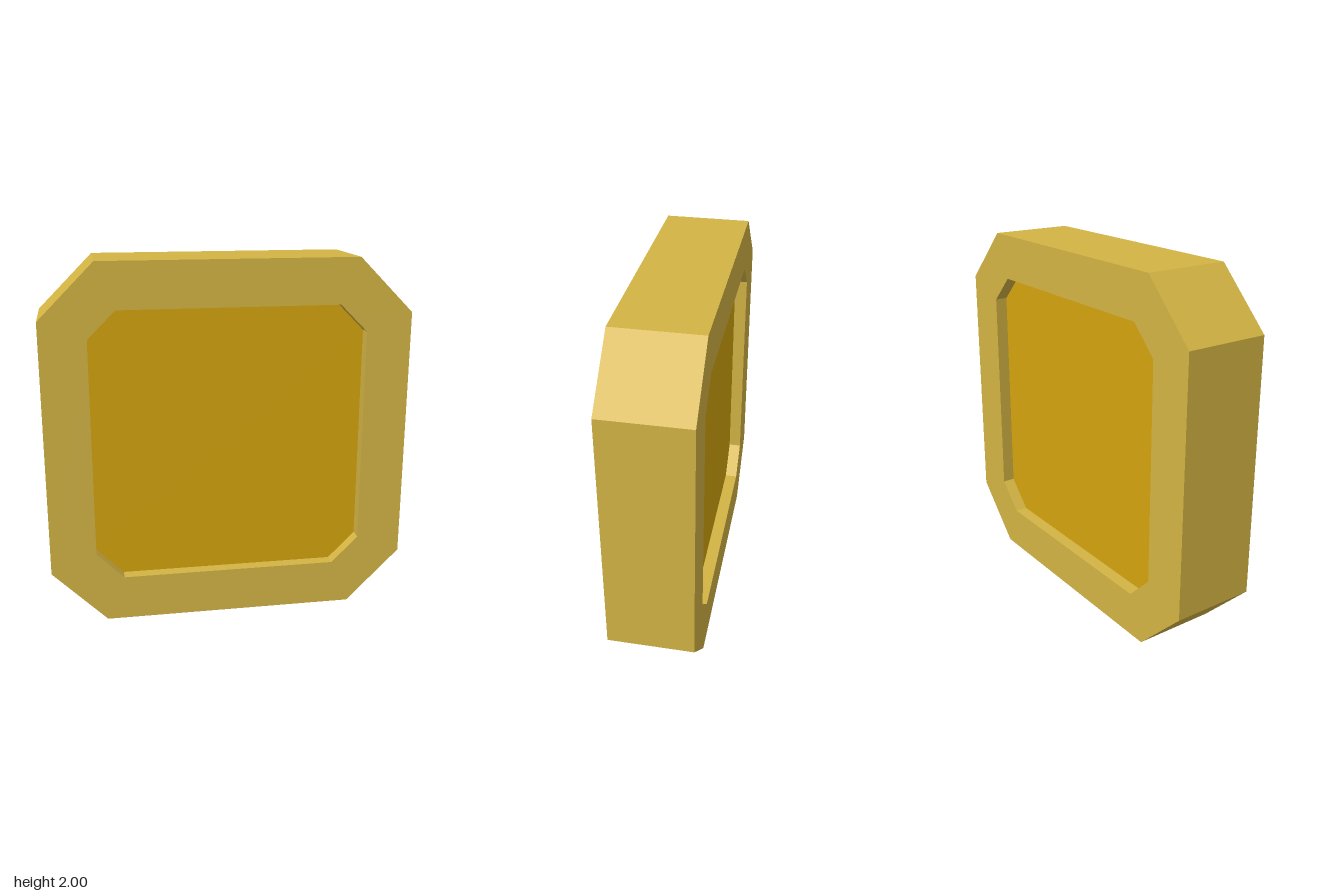
import * as THREE from 'three';

const DEPTH = 0.466, RECESS = 0.07;

// Corner points of a square with cut corners
function octagon(half, cut) {
  const a = half, b = half - cut;
  return [[b, -a], [a, -b], [a, b], [b, a], [-b, a], [-a, b], [-a, -b], [-b, -a]]
    .map(([x, y]) => new THREE.Vector2(x, y));
}

// Extruded slab centred on z = 0
function slab(shape, depth) {
  return new THREE.ExtrudeGeometry(shape, { depth, bevelEnabled: false })
    .translate(0, 0, -depth / 2);
}

export function createModel() {
  const frameGold = new THREE.MeshStandardMaterial({ color: 0xd4b444 });
  frameGold.name = 'pale gold';
  const panelGold = new THREE.MeshStandardMaterial({ color: 0xd4a40d });
  panelGold.name = 'deep gold';

  const model = new THREE.Group();
  model.name = 'octagonalToken';

  // Thick outer ring with a cut-cornered opening
  const ring = new THREE.Shape(octagon(1, 0.3));
  ring.holes.push(new THREE.Path(octagon(0.75, 0.15)));
  const frame = new THREE.Mesh(slab(ring, DEPTH), frameGold);
  frame.name = 'frame';

  // Centre panel, recessed on both faces
  const panelShape = new THREE.Shape(octagon(0.75, 0.15));
  const panel = new THREE.Mesh(slab(panelShape, DEPTH - 2 * RECESS), panelGold);
  panel.name = 'centrePanel';

  for (const part of [frame, panel]) {
    part.position.y = 1;
    model.add(part);
  }
  return model;
}
